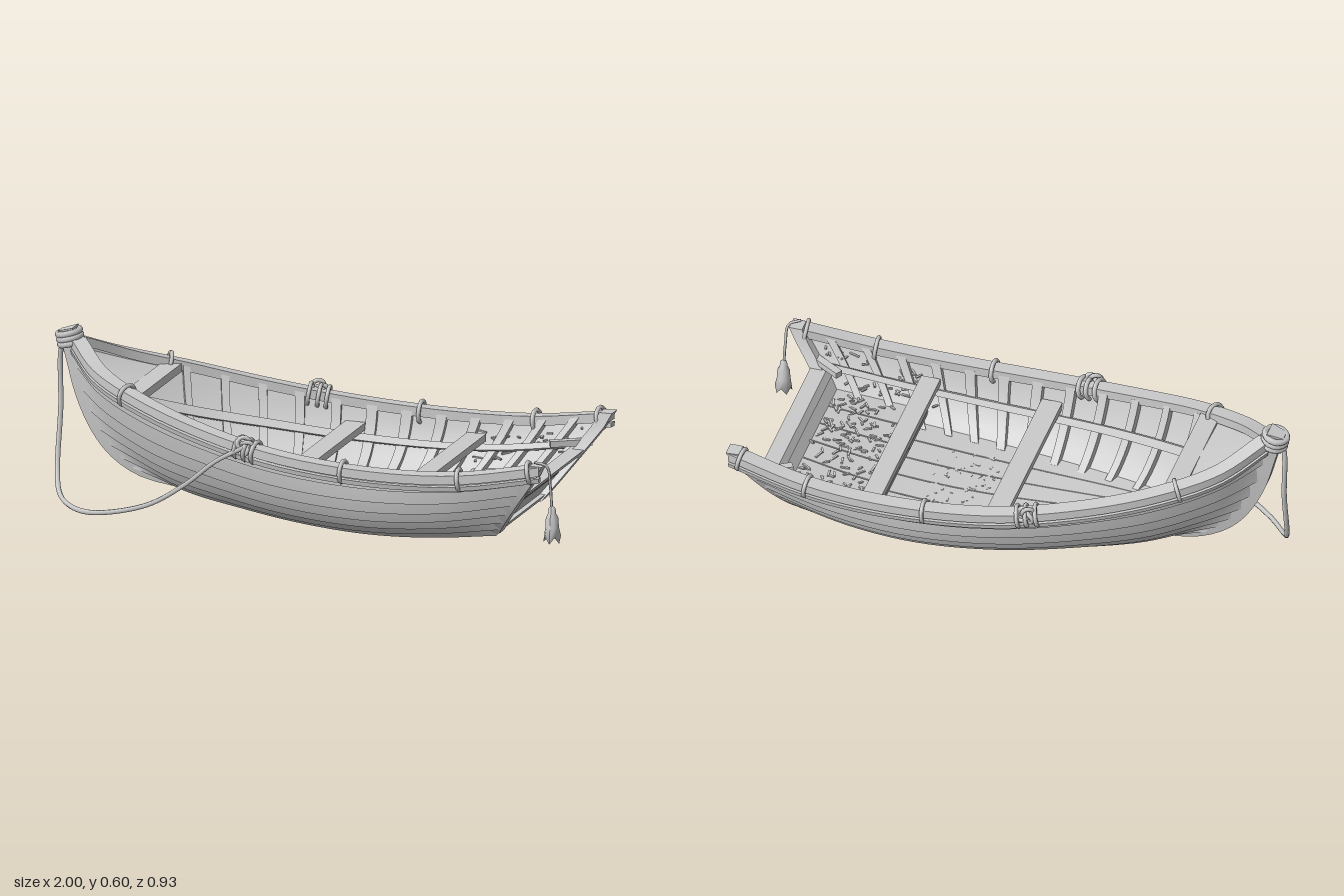
import * as THREE from 'three';
import { mergeGeometries, toCreasedNormals } from 'three/addons/utils/BufferGeometryUtils.js';

const V = (x, y, z) => new THREE.Vector3(x, y, z);
const material = new THREE.MeshStandardMaterial({ color: 0xcccccc, side: THREE.DoubleSide });
const curve = (pts) => new THREE.CatmullRomCurve3(pts.map((p) => V(...p)));
const mirror = (p) => V(p.x, p.y, -p.z);
const range = (n, a, b) => Array.from({ length: n + 1 }, (_, i) => a + ((b - a) * i) / n);

// Hull guide curves for the +z side, bow to stern
const sheer = curve([[-0.93, 0.55, 0.02], [-0.8, 0.48, 0.155], [-0.6, 0.42, 0.265], [-0.35, 0.36, 0.345],
  [-0.05, 0.31, 0.405], [0.3, 0.287, 0.428], [0.62, 0.297, 0.42], [0.92, 0.345, 0.385]]);
const bilge = curve([[-0.89, 0.22, 0.015], [-0.76, 0.2, 0.1], [-0.57, 0.15, 0.2], [-0.33, 0.12, 0.29],
  [-0.04, 0.09, 0.36], [0.28, 0.085, 0.395], [0.53, 0.11, 0.38], [0.782, 0.16, 0.335]]);
const chine = curve([[-0.71, 0.115, 0.015], [-0.62, 0.095, 0.03], [-0.48, 0.065, 0.075], [-0.28, 0.045, 0.13],
  [-0.04, 0.028, 0.19], [0.22, 0.023, 0.235], [0.46, 0.035, 0.25], [0.71, 0.06, 0.235]]);

// Point on the hull side: u bow to stern, v chine to sheer
function skin(u, v) {
  const w = 1 - v;
  return chine.getPoint(u).multiplyScalar(w * w)
    .addScaledVector(bilge.getPoint(u), 2 * v * w)
    .addScaledVector(sheer.getPoint(u), v * v);
}
function normalAt(u, v) {
  const e = 0.01, c = (t) => Math.min(1, Math.max(0, t));
  const n = skin(c(u + e), v).sub(skin(c(u - e), v))
    .cross(skin(u, c(v + e)).sub(skin(u, c(v - e)))).normalize();
  return n.z < 0 ? n.negate() : n;
}
const hull = (u, v, off = 0) => skin(u, v).addScaledVector(normalAt(u, v), off);

// Station whose sheer point lies at x
function stationAt(x) {
  let a = 0, b = 1;
  for (let i = 0; i < 24; i++) {
    const m = (a + b) / 2;
    if (sheer.getPoint(m).x < x) a = m; else b = m;
  }
  return a;
}

// Surface through rows of points; closed rows become capped beams
function loft(rows, closed = false) {
  const n = rows[0].length, pos = rows.flat().flatMap((p) => [p.x, p.y, p.z]), idx = [];
  for (let i = 0; i < rows.length - 1; i++) {
    for (let j = 0; j < (closed ? n : n - 1); j++) {
      const a = i * n + j, b = i * n + ((j + 1) % n);
      idx.push(a, b, a + n, b, b + n, a + n);
    }
  }
  if (closed) {
    const e = (rows.length - 1) * n;
    for (let j = 1; j < n - 1; j++) idx.push(0, j + 1, j, e, e + j, e + j + 1);
  }
  const g = new THREE.BufferGeometry();
  g.setAttribute('position', new THREE.Float32BufferAttribute(pos, 3));
  g.setIndex(idx);
  return toCreasedNormals(g, 0.5);
}

export function createModel() {
  const boat = new THREE.Group();
  boat.name = 'rowingBoat';
  const add = (name, geo) => {
    const m = new THREE.Mesh(geo, material);
    m.name = name;
    boat.add(m);
    return m;
  };
  // Adds a lofted part on both sides of the boat
  const pair = (name, rows, closed) => {
    add(name + 'Left', loft(rows.map((r) => r.map(mirror)), closed));
    add(name + 'Right', loft(rows, closed));
  };
  const box = (name, w, h, d, x, y, z) => {
    const m = add(name, new THREE.BoxGeometry(w, h, d));
    m.position.set(x, y, z);
    return m;
  };
  const stations = range(36, 0, 1);

  // Overlapping strakes, each with a raised lower edge
  const strakes = 7;
  for (let s = 0; s < strakes; s++) {
    const v0 = s / strakes, v1 = (s + 1) / strakes, vm = (v0 + v1) / 2;
    pair('strake' + (s + 1), stations.map((u) =>
      [hull(u, v0, 0), hull(u, v0, 0.014), hull(u, vm, 0.007), hull(u, v1, 0)]));
  }
  // Inner lining and flat bottom
  pair('lining', stations.map((u) => range(8, 0, 1).map((v) => hull(u, v, -0.012))));
  add('bottom', loft(stations.map((u) => [hull(u, 0), mirror(hull(u, 0))])));

  // Rails: gunwale cap and rubbing strip, corners given as [outward, up]
  const rail = (name, corners) => pair(name, stations.map((u) => {
    const t = sheer.getTangent(u), out = V(-t.z, 0, t.x).normalize(), p = sheer.getPoint(u);
    return corners.map(([o, y]) => p.clone().addScaledVector(out, o).add(V(0, y, 0)));
  }), true);
  rail('gunwale', [[0.02, -0.02], [0.02, 0.012], [-0.035, 0.014], [-0.035, -0.02]]);
  rail('rubbingStrip', [[-0.01, -0.045], [0.018, -0.045], [0.022, -0.028], [-0.01, -0.028]]);

  // Ribs and stringers inside the hull
  for (const x of range(11, -0.62, 0.8)) {
    const u = stationAt(x), d = 0.008;
    pair('rib', range(8, 0.15, 0.98).map((v) =>
      [hull(u - d, v, -0.01), hull(u + d, v, -0.01), hull(u + d, v, -0.034), hull(u - d, v, -0.034)]), true);
  }
  pair('stringer', range(24, 0.12, 0.97).map((u) =>
    [hull(u, 0.62, -0.028), hull(u, 0.7, -0.028), hull(u, 0.7, -0.046), hull(u, 0.62, -0.046)]), true);

  // Floor boards and the raised stern boards
  const boards = (name, v, u0, u1, count) => {
    for (let k = 0; k < count; k++) {
      const a = -1 + (2 * k) / count + 0.008, b = -1 + (2 * (k + 1)) / count - 0.008;
      add(name, loft(range(16, u0, u1).map((u) => {
        const p = hull(u, v, -0.012);
        return [V(p.x, p.y, p.z * a), V(p.x, p.y, p.z * b), V(p.x, p.y - 0.014, p.z * b), V(p.x, p.y - 0.014, p.z * a)];
      }), true));
    }
  };
  boards('floorBoard', 0.25, 0.08, 0.98, 6);
  boards('sternBoard', 0.42, 0.8, 0.99, 6);

  // Thwarts
  box('middleThwart', 0.075, 0.026, 0.74, -0.027, 0.225, 0);
  box('aftThwart', 0.07, 0.026, 0.75, 0.42, 0.222, 0);

  // Bow deck with its beam
  box('bowBeam', 0.07, 0.03, 0.43, -0.655, 0.42, 0);
  add('bowDeck', loft(range(6, stationAt(-0.9), stationAt(-0.66)).map((u) => {
    const p = hull(u, 0.95, -0.01);
    return [p, V(p.x, p.y + 0.012, 0), mirror(p)];
  })));

  // Transom panel, top bar, bottom bar and side posts
  const across = (name, v0, v1, f, b) => add(name, loft(range(8, v0, v1).map((v) => {
    const p = skin(1, v), q = p.z - 0.008;
    return [V(p.x + b, p.y, q), V(p.x + b, p.y, -q), V(p.x + f, p.y, -q), V(p.x + f, p.y, q)];
  }), true));
  across('transom', 0, 0.65, -0.04, -0.015);
  across('transomTopBar', 0.58, 0.66, -0.05, 0.008);
  across('transomBottomBar', 0, 0.1, -0.04, 0.005);
  pair('sternPost', range(10, 0, 1).map((v) => {
    const p = skin(1, v), y = p.y + (v === 1 ? 0.014 : 0);
    return [V(p.x + 0.012, y, p.z + 0.018), V(p.x + 0.012, y, p.z - 0.038),
      V(p.x - 0.035, y, p.z - 0.038), V(p.x - 0.035, y, p.z + 0.014)];
  }), true);
  for (const s of [-1, 1]) {
    box('sternKnee', 0.15, 0.022, 0.028, 0.79, 0.25, s * 0.315).rotation.y = -s * 0.55;
  }

  // Curved stem post
  const stem = curve([[-0.968, 0.59, 0], [-0.94, 0.5, 0], [-0.905, 0.37, 0], [-0.85, 0.25, 0],
    [-0.78, 0.165, 0], [-0.68, 0.108, 0], [-0.52, 0.08, 0]]);
  add('stemPost', loft(range(18, 0, 1).map((t) => {
    const p = stem.getPoint(t), d = stem.getTangent(t), o = V(d.y, -d.x, 0);
    const q = (f, z) => p.clone().addScaledVector(o, f).add(V(0, 0, z));
    return [q(0.03, 0.022), q(0.03, -0.022), q(-0.03, -0.034), q(-0.03, 0.034)];
  }), true));

  // Rope lashings round the stem head and gunwales
  const ring = (name, p, axis, r, tube) => {
    const m = add(name, new THREE.TorusGeometry(r, tube, 6, 16));
    m.position.copy(p);
    m.quaternion.setFromUnitVectors(V(0, 0, 1), axis);
    return m;
  };
  for (const k of [0, 1, 2]) {
    ring('stemLashing', V(-0.955 - k * 0.004, 0.54 + k * 0.018, 0), V(-0.25, 0.97, 0).normalize(), 0.04, 0.012);
  }
  for (const x of [-0.67, -0.2, -0.165, -0.135, 0.2, 0.63, 0.88]) {
    for (const s of [-1, 1]) {
      const u = stationAt(x), p = sheer.getPoint(u), t = sheer.getTangent(u);
      ring('gunwaleLashing', V(p.x, p.y - 0.008, s * (p.z - 0.007)), V(t.x, t.y, s * t.z), 0.038, 0.008);
    }
  }
  for (const s of [-1, 1]) {
    const knot = add('knot', new THREE.TorusKnotGeometry(0.022, 0.008, 40, 6));
    knot.position.set(-0.17, 0.335, s * 0.4);
  }

  // Mooring rope hanging from the stem to the gunwale
  const rope = (name, pts, r, n = 60) => add(name, new THREE.TubeGeometry(curve(pts), n, r, 6));
  rope('mooringRope', [[-0.95, 0.56, 0.03], [-0.985, 0.53, 0.01], [-0.99, 0.3, 0.01], [-0.985, 0.1, 0.06],
    [-0.95, 0.03, 0.14], [-0.87, 0.01, 0.24], [-0.75, 0.02, 0.32], [-0.55, 0.075, 0.35],
    [-0.4, 0.17, 0.375], [-0.28, 0.27, 0.395], [-0.17, 0.335, 0.415]], 0.009);

  // Tassel hanging from the stern
  rope('tasselCord', [[0.9, 0.37, 0.385], [0.94, 0.355, 0.37], [0.948, 0.28, 0.355], [0.952, 0.19, 0.35]], 0.005, 16);
  const profile = [[0.001, 0.21], [0.012, 0.2], [0.014, 0.18], [0.022, 0.165], [0.024, 0.13], [0.031, 0.09], [0.012, 0.1]];
  const tassel = add('tassel', new THREE.LatheGeometry(profile.map((p) => new THREE.Vector2(...p)), 10));
  tassel.position.set(0.953, 0, 0.35);
  const tp = tassel.geometry.attributes.position;
  for (let i = 0; i < tp.count; i++) {
    if (tp.getY(i) < 0.095) tp.setY(i, 0.075 + 0.025 * (Math.floor(i / 7) % 2));
  }
  tassel.geometry.computeVertexNormals();

  // Scattered straw on the boards and along the stern sides
  let seed = 7;
  const rnd = (a, b) => {
    seed = (seed * 16807) % 2147483647;
    return a + ((b - a) * seed) / 2147483647;
  };
  const straw = (p) => {
    const g = new THREE.BoxGeometry(rnd(0.015, 0.04), 0.005, 0.007);
    g.rotateZ(rnd(-0.3, 0.3)).rotateY(rnd(0, Math.PI));
    return g.translate(p.x, p.y + 0.004, p.z);
  };
  const bits = [];
  for (let i = 0; i < 110; i++) bits.push(straw(V(rnd(0.04, 0.38), 0.066, rnd(-0.2, 0.2))));
  for (let i = 0; i < 150; i++) {
    const p = hull(rnd(0.82, 0.98), 0.42, -0.012);
    bits.push(straw(V(p.x, p.y, p.z * rnd(-0.92, 0.92))));
  }
  for (let i = 0; i < 70; i++) {
    const p = hull(rnd(0.78, 0.97), rnd(0.45, 0.85), -0.018);
    bits.push(straw(i % 2 ? p : mirror(p)));
  }
  add('straw', mergeGeometries(bits));
  return boat;
}
